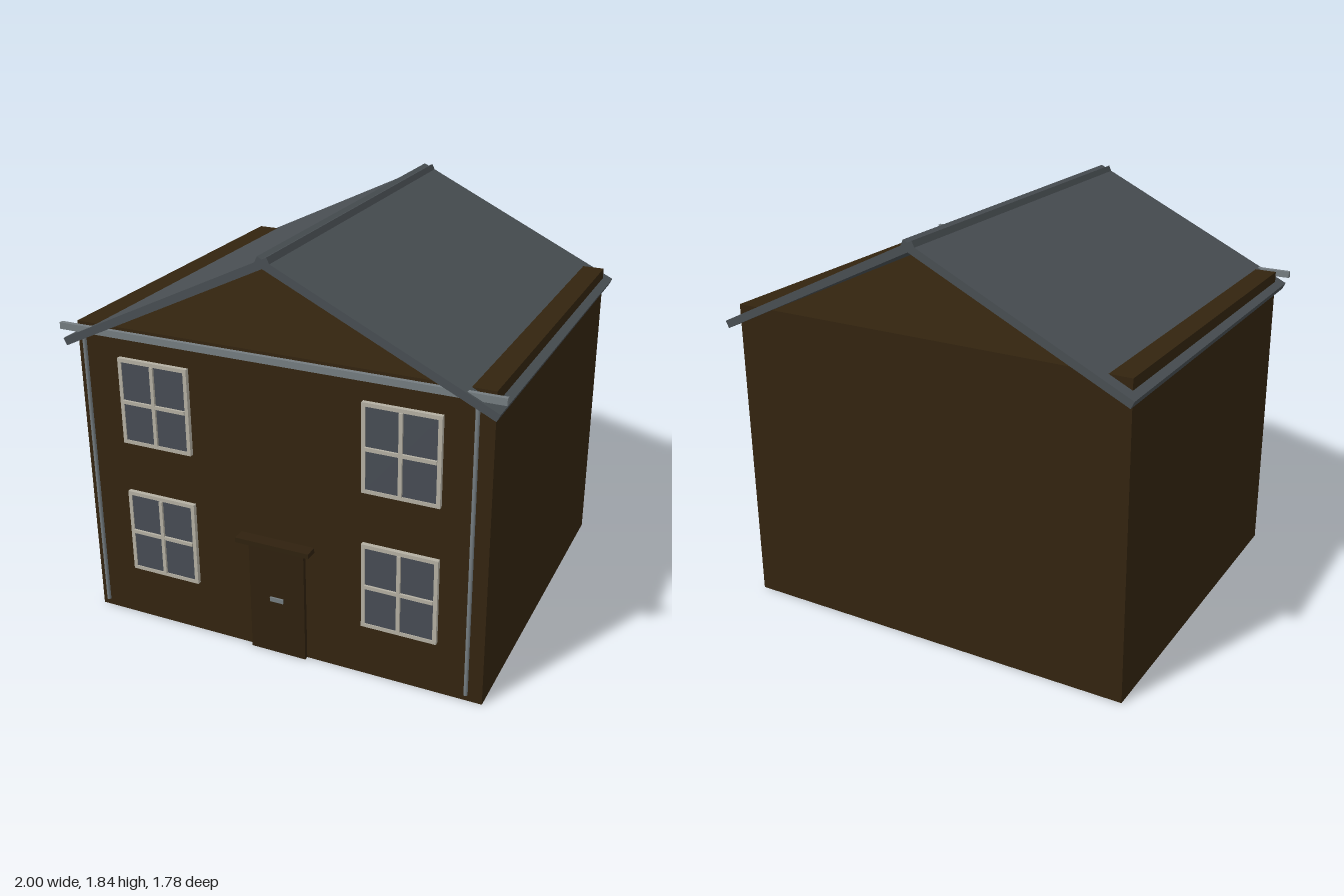
import * as THREE from 'three';

const mat = (name, color) => {
  const m = new THREE.MeshStandardMaterial({ color });
  m.name = name;
  return m;
};

export function createModel() {
  const house = new THREE.Group();
  house.name = 'house';
  const brick = mat('darkBrownWall', 0x33240f);
  const wood = mat('darkBrownDoor', 0x2f210e);
  const slate = mat('slateRoof', 0x484e52);
  const glass = mat('windowGlass', 0x474c54);
  const trim = mat('windowFrame', 0xb3afa2);
  const metal = mat('greyMetal', 0x747c80);

  // Box given by its limits on each axis
  const box = (name, material, [x0, x1], [y0, y1], [z0, z1], parent = house) => {
    const mesh = new THREE.Mesh(new THREE.BoxGeometry(x1 - x0, y1 - y0, z1 - z0), material);
    mesh.position.set((x0 + x1) / 2, (y0 + y1) / 2, (z0 + z1) / 2);
    mesh.name = name;
    parent.add(mesh);
    return mesh;
  };

  const wallZ = 0.83;
  box('walls', brick, [-0.945, 0.945], [0, 1.425], [-wallZ, wallZ]);

  // Two roof slabs crossing slightly at the ridge, and the downpipes
  for (const side of [1, -1]) {
    const slab = new THREE.Mesh(new THREE.BoxGeometry(1.11, 0.035, 1.78), slate);
    slab.position.set(side * 0.472, 1.585, 0);
    slab.rotation.z = -side * 0.449;
    slab.name = side > 0 ? 'roofLeft' : 'roofRight';
    house.add(slab);

    const pipe = new THREE.Mesh(new THREE.CylinderGeometry(0.009, 0.009, 1.34, 12), metal);
    pipe.position.set(side * 0.885, 0.73, 0.87);
    pipe.name = side > 0 ? 'downpipeLeft' : 'downpipeRight';
    house.add(pipe);
  }
  box('gutter', metal, [-1, 1], [1.395, 1.425], [0.86, 0.88]);

  // Windows: frame, pane and glazing bars
  const w = 0.17, h = 0.2, b = 0.017;
  for (const x of [-0.57, 0.57]) {
    for (const y of [0.452, 1.092]) {
      const win = new THREE.Group();
      win.name = 'window';
      win.position.set(x, y, wallZ);
      house.add(win);
      for (const s of [-1, 1]) {
        const fx = s * (w - b / 2), fy = s * (h - b / 2);
        box('frameSide', trim, [fx - b / 2, fx + b / 2], [-h, h], [0, 0.02], win);
        box('frameRail', trim, [-w + b, w - b], [fy - b / 2, fy + b / 2], [0, 0.02], win);
      }
      box('pane', glass, [-w + b, w - b], [-h + b, h - b], [0.008, 0.016], win);
      box('verticalBar', trim, [-0.008, 0.008], [-h + b, h - b], [0.012, 0.027], win);
      box('horizontalBar', trim, [-w + b, w - b], [-0.008, 0.008], [0.012, 0.0265], win);
    }
  }

  // Entrance
  box('door', wood, [-0.132, 0.132], [0, 0.545], [wallZ, 0.85]);
  box('doorCanopy', wood, [-0.175, 0.175], [0.545, 0.568], [wallZ, 0.89]);
  box('doorHandle', metal, [-0.032, 0.032], [0.265, 0.285], [0.85, 0.858]);

  return house;
}
